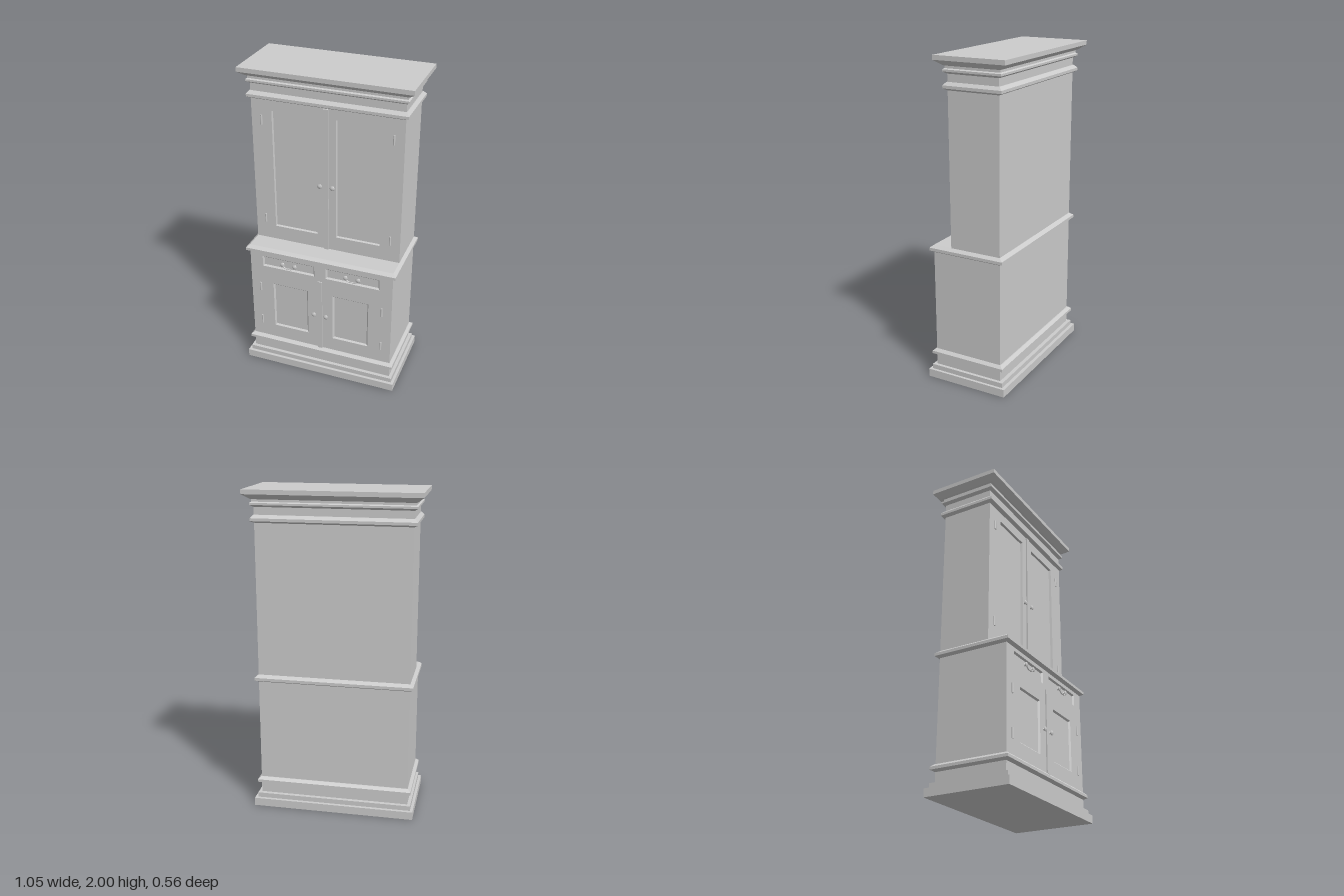
import * as THREE from 'three';

const W = 0.468, BACK = -0.21, LOW = 0.238, UP = 0.117; // half width, back and front planes
const grey = new THREE.MeshStandardMaterial({ color: 0xcccccc, side: THREE.DoubleSide });
const flat = new THREE.MeshStandardMaterial({ color: 0xcccccc, flatShading: true });

// Joins four-cornered rings into a closed or open-bottomed solid
function loft(rings, closeStart = true) {
  const index = [];
  for (let r = 0; r < rings.length - 1; r++) {
    for (let j = 0; j < 4; j++) {
      const a = r * 4 + j, b = r * 4 + (j + 1) % 4;
      index.push(a, b, b + 4, a, b + 4, a + 4);
    }
  }
  const e = (rings.length - 1) * 4;
  index.push(e, e + 1, e + 2, e, e + 2, e + 3);
  if (closeStart) index.push(0, 2, 1, 0, 3, 2);
  const g = new THREE.BufferGeometry();
  g.setAttribute('position', new THREE.Float32BufferAttribute(rings.flat(2), 3));
  g.setIndex(index);
  const out = g.toNonIndexed();
  out.computeVertexNormals();
  return out;
}

// Moulding running round the cabinet; profile is [height, overhang]
function moulding(profile, front) {
  return loft(profile.map(([y, o]) => {
    const x = W + o, f = front + o * 1.08, b = BACK - o * 1.22;
    return [[-x, y, f], [x, y, f], [x, y, b], [-x, y, b]];
  }));
}

const ring = ([x0, x1, y0, y1], inset, z) => [
  [x0 + inset, y0 + inset, z], [x1 - inset, y0 + inset, z],
  [x1 - inset, y1 - inset, z], [x0 + inset, y1 - inset, z]];

function outline(Type, [x0, x1, y0, y1]) {
  return new Type([[x0, y0], [x1, y0], [x1, y1], [x0, y1]].map(p => new THREE.Vector2(...p)));
}

export function createModel() {
  const model = new THREE.Group();
  const add = (name, geometry, x = 0, y = 0, z = 0, material = grey, parent = model) => {
    const m = new THREE.Mesh(geometry, material);
    m.name = name;
    m.position.set(x, y, z);
    parent.add(m);
    return m;
  };

  // Cabinet section: solid core with a front plate pierced for the panels
  function carcass(name, y0, y1, front, panels, bevel, depth) {
    const t = 0.025, d = front - t - BACK;
    add(name + 'Carcass', new THREE.BoxGeometry(2 * W, y1 - y0, d), 0, (y0 + y1) / 2, BACK + d / 2);
    const shape = outline(THREE.Shape, [-W, W, y0, y1]);
    shape.holes = panels.map(p => outline(THREE.Path, p));
    add(name + 'Front', new THREE.ExtrudeGeometry(shape, { depth: t, bevelEnabled: false }), 0, 0, front - t);
    for (const p of panels) {
      add(name + 'Panel', loft([ring(p, 0, front), ring(p, bevel, front - depth)], false), 0, 0, 0, flat);
    }
  }
  const mirror = ([x0, x1, y0, y1]) => [[x0, x1, y0, y1], [-x1, -x0, y0, y1]];

  // Plinth with stepped foot and rounded band
  add('plinth', moulding([[0, 0.037], [0.05, 0.037], [0.05, 0.02], [0.08, 0.02], [0.08, 0],
    [0.143, 0], [0.155, 0.02], [0.172, 0.02], [0.187, 0.004], [0.187, 0]], LOW), 0, 0, 0, flat);

  // Lower cupboard with two drawers and two doors
  carcass('lower', 0.185, 0.83, LOW,
    [...mirror([0.037, 0.385, 0.73, 0.803]), ...mirror([0.083, 0.318, 0.28, 0.608])], 0.009, 0.01);

  // Counter ledge between the two sections
  add('counter', moulding([[0.826, 0], [0.838, 0.02], [0.856, 0.02], [0.872, 0]], LOW), 0, 0, 0, flat);

  // Upper cupboard with two tall panelled doors
  carcass('upper', 0.87, 1.81, UP, mirror([0.06, 0.34, 0.965, 1.74]), 0.004, 0.014);

  // Frieze and cornice
  add('cornice', moulding([[1.803, 0], [1.815, 0.02], [1.832, 0.02], [1.85, 0.004], [1.85, 0],
    [1.895, 0], [1.908, 0.019], [1.92, 0.019], [1.926, 0.01], [1.94, 0.01], [1.945, 0.02],
    [1.973, 0.055], [2, 0.055]], UP), 0, 0, 0, flat);

  // Cover strips between the doors
  add('upperStrip', new THREE.BoxGeometry(0.028, 0.93, 0.014), 0, 1.335, UP + 0.002);
  add('lowerStrip', new THREE.BoxGeometry(0.028, 0.515, 0.014), 0, 0.4425, LOW + 0.001);

  // Turned knob, pointing forwards
  const knob = new THREE.LatheGeometry([[0.009, 0], [0.006, 0.003], [0.006, 0.006], [0.013, 0.009],
    [0.0155, 0.012], [0.012, 0.016], [0, 0.018]].map(p => new THREE.Vector2(...p)), 16);
  knob.rotateX(Math.PI / 2);
  const hinge = new THREE.CylinderGeometry(0.006, 0.006, 0.06, 10);

  // Bail handle hanging from two knobs
  const bail = new THREE.TubeGeometry(new THREE.CatmullRomCurve3([[-0.041, 0], [-0.032, -0.012],
    [-0.016, -0.022], [0, -0.021], [0.016, -0.022], [0.032, -0.012], [0.041, 0]]
    .map(([x, y]) => new THREE.Vector3(x, y, 0.01))), 28, 0.004, 8);

  for (const s of [1, -1]) {
    const side = s > 0 ? 'left' : 'right';
    add(side + 'UpperKnob', knob, s * 0.04, 1.305, UP);
    add(side + 'LowerKnob', knob, s * 0.04, 0.443, LOW);
    for (const [y, z] of [[1.675, UP], [1.015, UP], [0.57, LOW], [0.31, LOW]]) {
      add(side + 'Hinge', hinge, s * 0.405, y, z + 0.002);
    }
    const handle = new THREE.Group();
    handle.name = side + 'DrawerHandle';
    handle.position.set(s * 0.209, 0.77, LOW - 0.01);
    for (const k of [-1, 1]) add('handleKnob', knob, k * 0.041, 0, 0.004, grey, handle);
    add('bail', bail, 0, 0, 0.006, grey, handle);
    model.add(handle);
  }
  return model;
}
